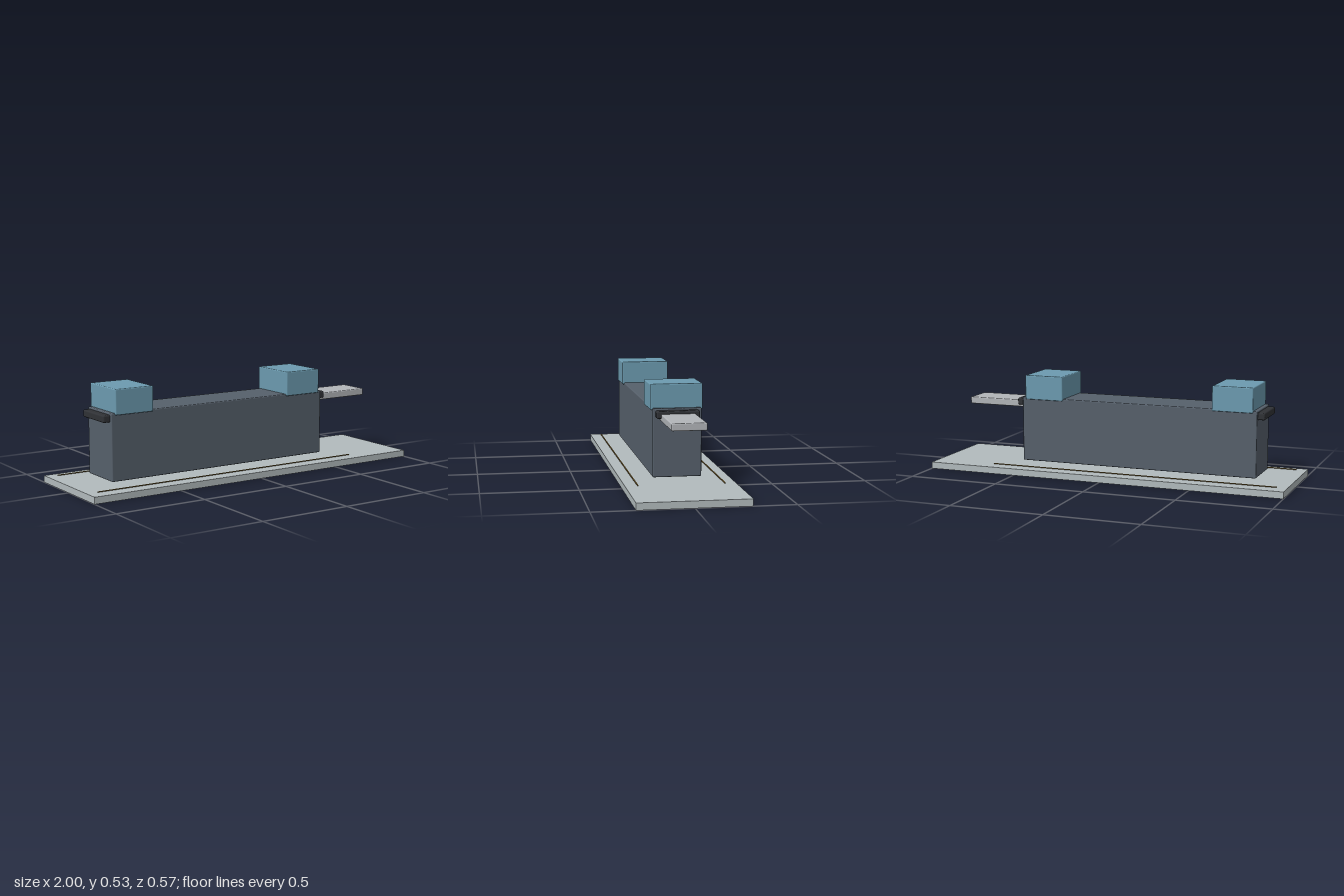
import * as THREE from 'three';
import { RoundedBoxGeometry } from 'three/addons/geometries/RoundedBoxGeometry.js';

const material = (color) => new THREE.MeshStandardMaterial({ color });

export function createModel() {
  const model = new THREE.Group();
  model.name = 'machine';

  const slate = material(0x56606b);
  const blue = material(0x6c9bb0);
  const black = material(0x303236);
  const silver = material(0xb2b5b9);
  const stone = material(0xb2bbbd);
  const brass = material(0x8f7338);

  // Box given by its x and y limits and its depth, centred on z; radius rounds the edges
  function addBox(name, [x0, x1], [y0, y1], depth, mat, radius = 0, z = 0) {
    const w = x1 - x0, h = y1 - y0;
    const geometry = radius
      ? new RoundedBoxGeometry(w, h, depth, 3, radius)
      : new THREE.BoxGeometry(w, h, depth);
    const mesh = new THREE.Mesh(geometry, mat);
    mesh.name = name;
    mesh.position.set((x0 + x1) / 2, (y0 + y1) / 2, z);
    model.add(mesh);
  }

  // Floor slab with a thin line along each side
  addBox('floorSlab', [-1, 1], [0, 0.036], 0.566, stone);
  for (const side of [-1, 1]) {
    addBox(side > 0 ? 'frontFloorLine' : 'backFloorLine',
      [-0.95, 0.643], [0.041, 0.045], 0.006, brass, 0, side * 0.221);
  }

  // Long main body
  addBox('body', [-0.815, 0.51], [0.055, 0.408], 0.252, slate, 0.006);

  // Hood and end bar, one pair at each end of the body
  const centre = -0.1525;
  for (const side of [-1, 1]) {
    const end = side > 0 ? 'left' : 'right';
    const span = (a, b) => [centre + side * a, centre + side * b].sort((p, q) => p - q);
    addBox(end + 'Hood', span(0.422, 0.642), [0.398, 0.531], 0.27, blue, 0.006);
    addBox(end + 'EndBar', span(0.63, 0.7), [0.361, 0.399], 0.222, black, 0.008);
  }

  // Outfeed tray
  addBox('tray', [0.49, 0.85], [0.346, 0.384], 0.176, silver, 0.006);

  return model;
}
